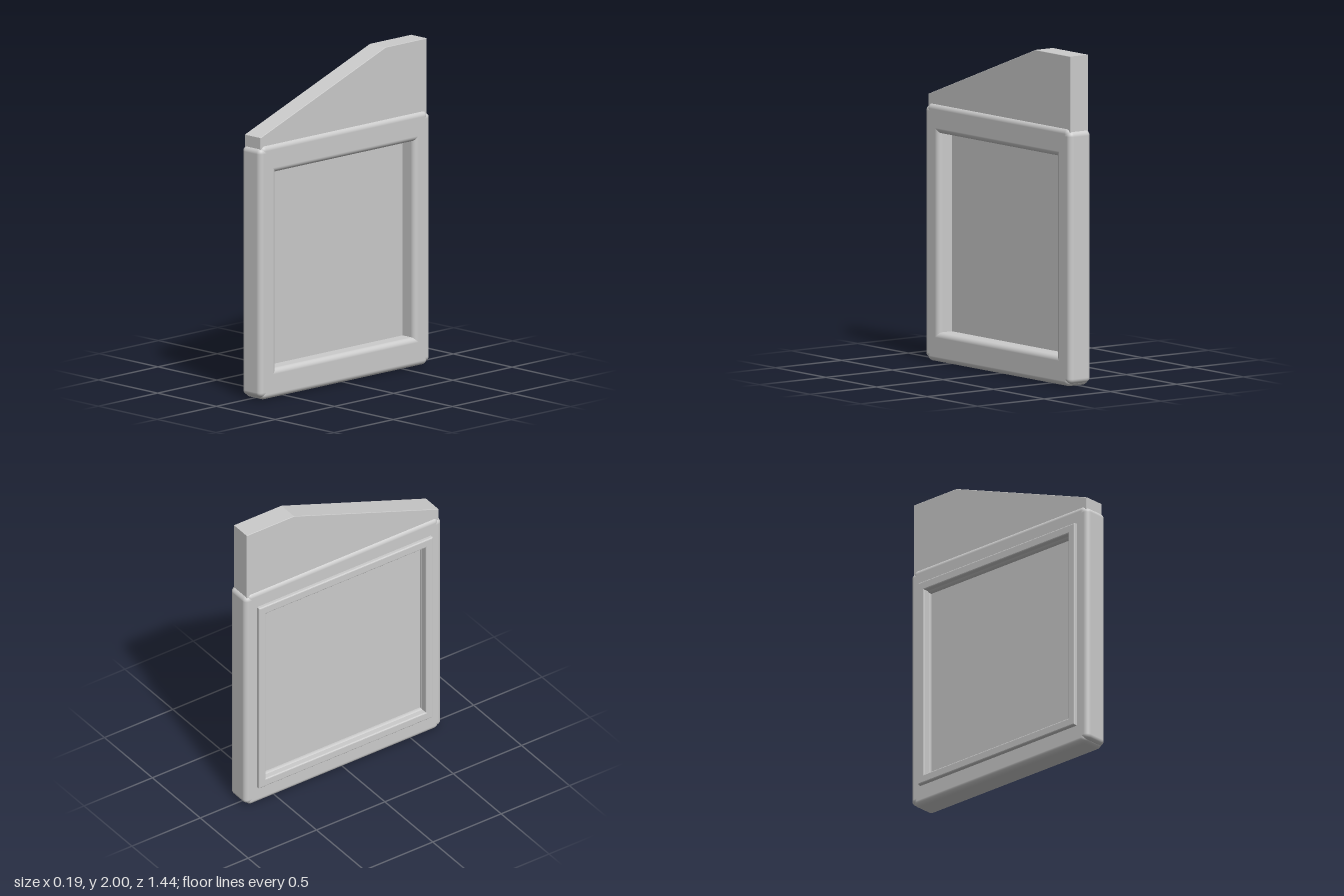
import * as THREE from 'three';
import { RoundedBoxGeometry } from 'three/addons/geometries/RoundedBoxGeometry.js';

export function createModel() {
  const group = new THREE.Group();
  const material = new THREE.MeshStandardMaterial({ color: 0xcccccc });

  function add(name, geometry, x = 0, y = 0, z = 0) {
    const mesh = new THREE.Mesh(geometry, material);
    mesh.name = name;
    mesh.position.set(x, y, z);
    group.add(mesh);
  }

  // Extrude a side profile (z, y) from x0 down to x1, with bevelled edges kept inside the outline
  function sideExtrude(shape, x0, x1, bevel) {
    const geometry = new THREE.ExtrudeGeometry(shape, {
      depth: x0 - x1 - 2 * bevel, bevelEnabled: true, bevelSize: bevel,
      bevelThickness: bevel, bevelOffset: -bevel, bevelSegments: 3,
    });
    geometry.rotateY(-Math.PI / 2);
    geometry.translate(x0 - bevel, 0, 0);
    return geometry;
  }

  // Frame: two upright posts and two rails, all with soft edges
  const frameX = 0.01, depth = 0.164, radius = 0.032;
  for (const side of [1, -1]) {
    add(side > 0 ? 'frontPost' : 'backPost',
      new RoundedBoxGeometry(depth, 1.53, 0.138, 4, radius), frameX, 0.78, side * 0.651);
  }
  add('bottomRail', new RoundedBoxGeometry(depth, 0.18, 1.4, 4, radius), frameX, 0.09, 0);
  add('topRail', new RoundedBoxGeometry(depth, 0.175, 1.4, 4, radius), frameX, 1.4725, 0);

  // Thin recessed panel
  add('panel', new THREE.BoxGeometry(0.025, 1.3, 1.26), -0.0225, 0.785, 0);

  // Raised trim around the panel on the right-hand face
  const trim = new THREE.Shape([
    new THREE.Vector2(-0.636, 0.12), new THREE.Vector2(0.636, 0.12),
    new THREE.Vector2(0.636, 1.452), new THREE.Vector2(-0.636, 1.452),
  ]);
  trim.holes.push(new THREE.Path([
    new THREE.Vector2(-0.585, 0.175), new THREE.Vector2(-0.585, 1.395),
    new THREE.Vector2(0.585, 1.395), new THREE.Vector2(0.585, 0.175),
  ]));
  add('panelTrim', sideExtrude(trim, -0.03, -0.096, 0.008));

  // Sloping header board on top of the frame
  const header = new THREE.Shape([
    new THREE.Vector2(0.702, 1.5), new THREE.Vector2(0.702, 1.612),
    new THREE.Vector2(-0.355, 2), new THREE.Vector2(-0.702, 2),
    new THREE.Vector2(-0.702, 1.5),
  ]);
  add('headerBoard', sideExtrude(header, 0.075, -0.06, 0.003));

  return group;
}
